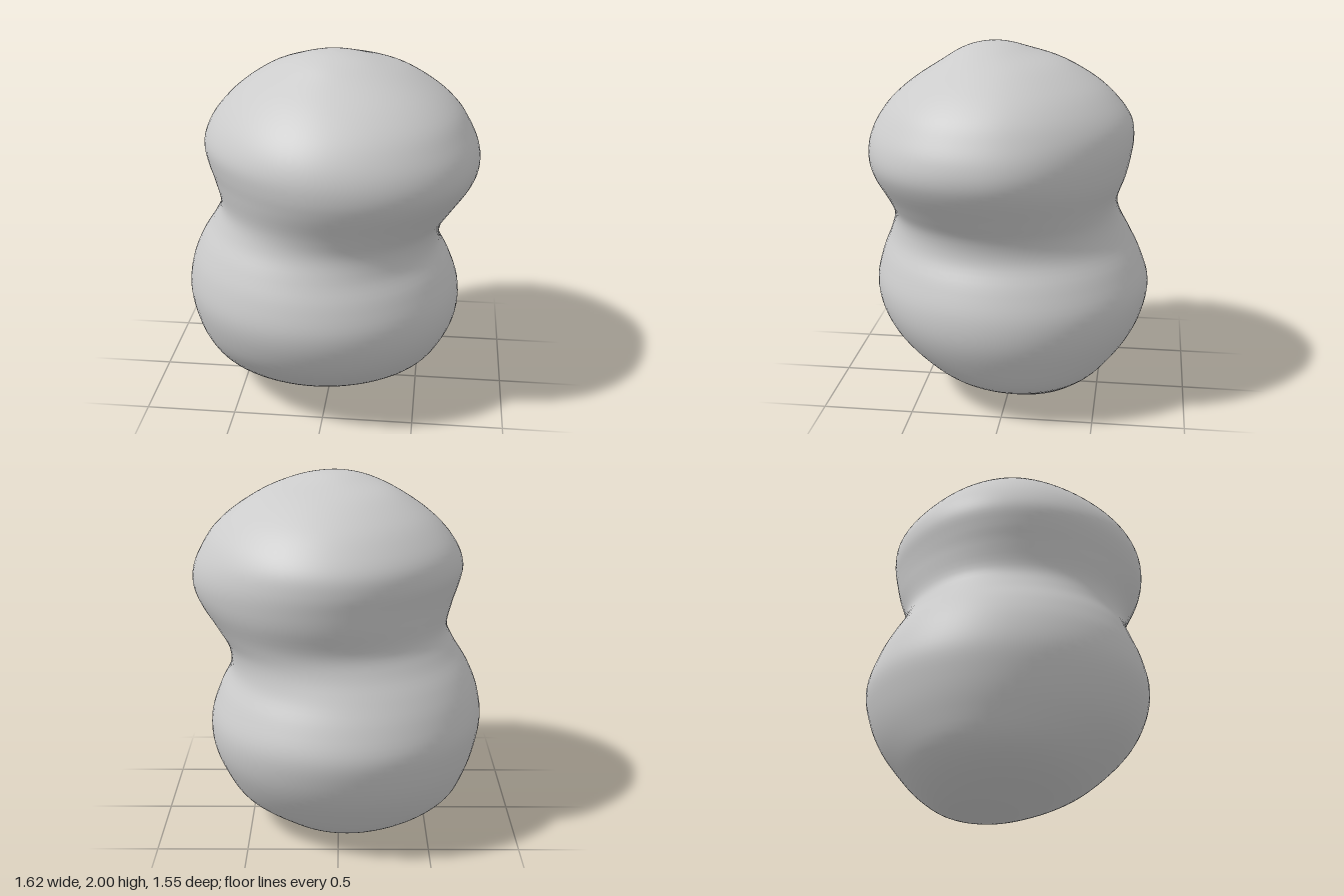
import * as THREE from 'three';
import { mergeVertices } from 'three/addons/utils/BufferGeometryUtils.js';

// Cross-section extents, bottom to top: [y, left x, right x, back z, front z]
const LEVELS = [
  [0.0, -0.04, -0.04, -0.1, -0.1],
  [0.007, -0.19, 0.11, -0.24, 0.02],
  [0.03, -0.33, 0.25, -0.37, 0.13],
  [0.1, -0.53, 0.41, -0.48, 0.33],
  [0.2, -0.67, 0.57, -0.575, 0.49],
  [0.35, -0.745, 0.665, -0.685, 0.655],
  [0.5, -0.79, 0.72, -0.75, 0.745],
  [0.65, -0.81, 0.722, -0.773, 0.778],
  [0.8, -0.785, 0.672, -0.725, 0.75],
  [0.93, -0.73, 0.61, -0.66, 0.7],
  [1.05, -0.655, 0.62, -0.605, 0.665],
  [1.16, -0.61, 0.685, -0.59, 0.685],
  [1.3, -0.64, 0.775, -0.635, 0.745],
  [1.4, -0.672, 0.81, -0.657, 0.77],
  [1.5, -0.69, 0.8, -0.67, 0.765],
  [1.6, -0.66, 0.755, -0.655, 0.725],
  [1.7, -0.59, 0.69, -0.585, 0.65],
  [1.8, -0.485, 0.58, -0.475, 0.535],
  [1.9, -0.335, 0.42, -0.3, 0.38],
  [1.96, -0.2, 0.26, -0.11, 0.28],
  [1.99, -0.09, 0.13, 0.0, 0.19],
  [2.0, 0.02, 0.02, 0.1, 0.1],
];

const spline = (a, b) => new THREE.CatmullRomCurve3(
  LEVELS.map((l) => new THREE.Vector3(l[a], l[0], l[b])), false, 'catmullrom', 0.5);

// Sphere grid reshaped into smoothly lofted, offset oval sections
function bodyGeometry() {
  const xCurve = spline(1, 2);
  const zCurve = spline(3, 4);
  const geo = new THREE.SphereGeometry(1, 72, 96);
  const pos = geo.attributes.position;
  const uv = geo.attributes.uv;
  for (let i = 0; i < pos.count; i++) {
    const t = THREE.MathUtils.clamp(uv.getY(i), 0, 1);
    const ex = xCurve.getPoint(t);
    const ez = zCurve.getPoint(t);
    const a = uv.getX(i) * Math.PI * 2;
    const c = -Math.cos(a);
    const s = Math.sin(a);
    // the upper lobe is fuller at its front +x corner and flatter at the others
    const corner = c > 0 && s > 0 ? 0.025 : -0.03;
    const k = 1 + corner * (2 * s * c) ** 2 * THREE.MathUtils.smoothstep(ex.y, 1.1, 1.4);
    pos.setXYZ(i,
      (ex.x + ex.z) / 2 + (ex.z - ex.x) / 2 * c * k,
      ex.y,
      (ez.x + ez.z) / 2 + (ez.z - ez.x) / 2 * s * k);
  }
  // weld the seam and poles for continuous shading
  geo.deleteAttribute('uv');
  geo.deleteAttribute('normal');
  const welded = mergeVertices(geo, 1e-4);
  welded.computeVertexNormals();
  return welded;
}

export function createModel() {
  const group = new THREE.Group();
  const body = new THREE.Mesh(bodyGeometry(), new THREE.MeshStandardMaterial({ color: 0xcccccc }));
  body.name = 'twoLobedBody';
  group.add(body);
  return group;
}
